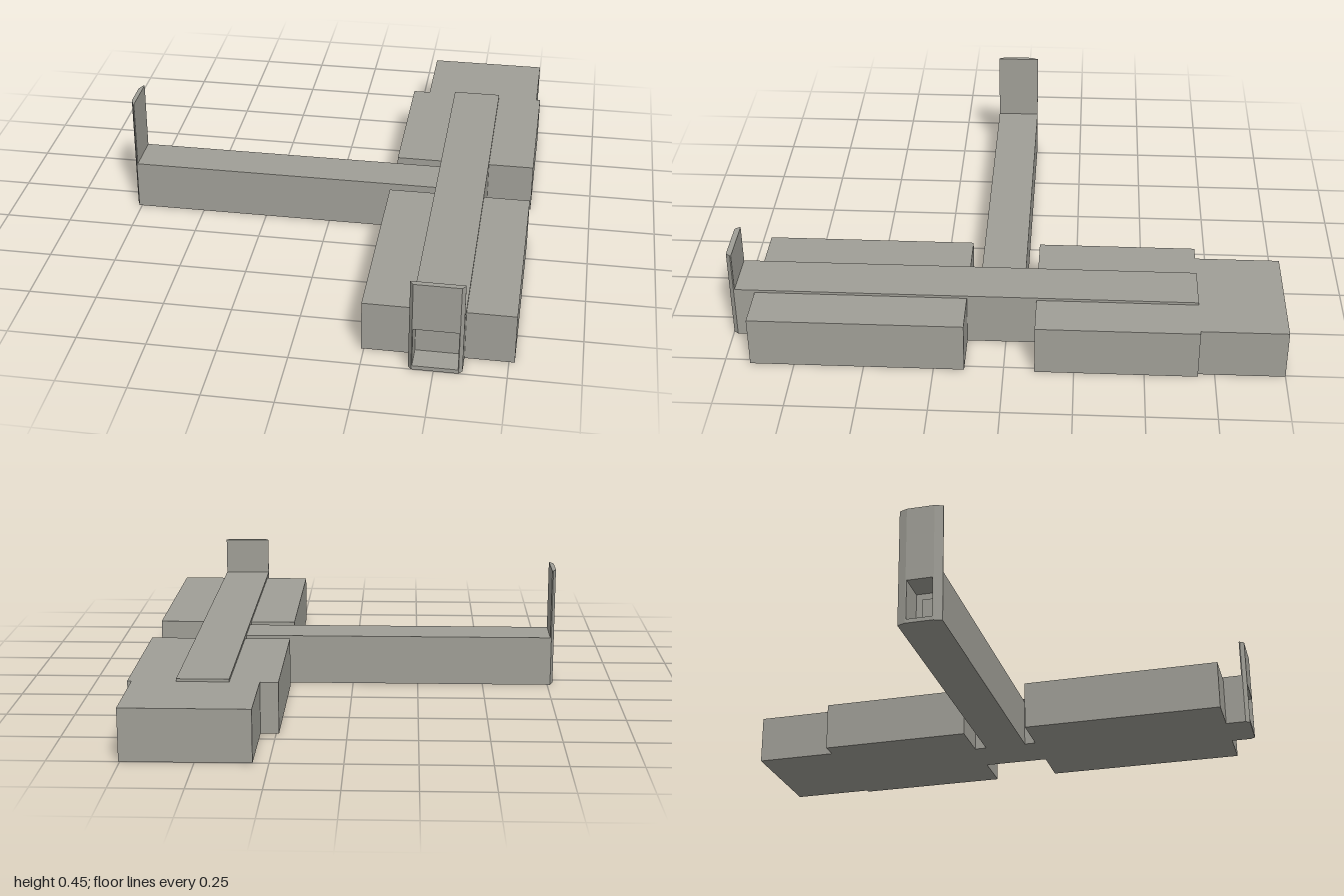
import * as THREE from 'three';

const concrete = new THREE.MeshStandardMaterial({ color: 0xa09f97 });
concrete.name = 'warm grey';

function add(parent, name, geometry) {
  const mesh = new THREE.Mesh(geometry, concrete);
  mesh.name = name;
  parent.add(mesh);
  return mesh;
}

// Box given by its limits on each axis
function block(parent, name, [x0, x1], [y0, y1], [z0, z1]) {
  const mesh = add(parent, name, new THREE.BoxGeometry(x1 - x0, y1 - y0, z1 - z0));
  mesh.position.set((x0 + x1) / 2, (y0 + y1) / 2, (z0 + z1) / 2);
  return mesh;
}

// Plan outline of [x, z] points raised from y0 to y1
function prism(parent, name, plan, y0, y1) {
  const shape = new THREE.Shape(plan.map(([x, z]) => new THREE.Vector2(x, -z)));
  const geometry = new THREE.ExtrudeGeometry(shape, { depth: y1 - y0, bevelEnabled: false });
  geometry.rotateX(-Math.PI / 2).translate(0, y0, 0);
  return add(parent, name, geometry);
}

// Hollow porch and tall chamfered facade, facing local +z with its back plane at z = 0
function entrance({ name, width, height, roof, depth, chamfer, opening, recess }) {
  const group = new THREE.Group();
  group.name = name;
  const w = width / 2, o = opening / 2, sill = 0.015, lintel = 0.165;
  const plan = [[-w, 0], [w, 0], [w, 0.004], [w - chamfer, depth], [chamfer - w, depth], [-w, 0.004]];
  prism(group, 'threshold', plan, 0, sill);
  prism(group, 'facadePanel', plan, lintel, height);
  for (const s of [-1, 1]) {
    const post = [[o, 0], [w, 0], [w, 0.004], [w - chamfer, depth], [o, depth]];
    prism(group, 'doorPost', post.map(([x, z]) => [s * x, z]), sill, lintel);
  }

  // Porch walls as a tube with a rectangular opening
  const shell = new THREE.Shape();
  shell.moveTo(-w, 0).lineTo(w, 0).lineTo(w, roof).lineTo(-w, roof).closePath();
  const hole = new THREE.Path();
  hole.moveTo(-o, sill).lineTo(-o, lintel).lineTo(o, lintel).lineTo(o, sill).closePath();
  shell.holes.push(hole);
  const walls = new THREE.ExtrudeGeometry(shell, { depth: recess, bevelEnabled: false });
  walls.translate(0, 0, -recess);
  add(group, 'porchWalls', walls);

  // Door at the back of the porch
  const door = opening * 0.235;
  block(group, 'door', [-door, door], [sill, 0.14], [-recess, -recess + 0.006]);
  return group;
}

export function createModel() {
  const model = new THREE.Group();
  model.name = 'building';
  const wingTop = 0.188, hallTop = 0.198, recess = 0.1;

  // Wide wings and rear block
  block(model, 'frontWing', [0.24, 0.77], [0, wingTop], [0.14, 0.908]);
  block(model, 'rearWing', [0.24, 0.77], [0, wingTop], [-0.69, -0.11]);
  block(model, 'rearBlock', [0.305, 0.755], [0, wingTop], [-1, -0.69]);

  // Long raised hall and side corridor
  block(model, 'hall', [0.412, 0.598], [0, hallTop], [-0.69, 0.98 - recess]);
  block(model, 'corridor', [-0.757 + recess, 0.412], [0, wingTop], [-0.065, 0.097]);

  const front = entrance({
    name: 'frontEntrance', width: 0.186, height: 0.345, roof: hallTop,
    depth: 0.02, chamfer: 0.012, opening: 0.156, recess,
  });
  front.position.set(0.505, 0, 0.98);

  const side = entrance({
    name: 'sideEntrance', width: 0.162, height: 0.45, roof: wingTop,
    depth: 0.016, chamfer: 0.03, opening: 0.094, recess,
  });
  side.position.set(-0.757, 0, 0.016);
  side.rotation.y = -Math.PI / 2;

  model.add(front, side);
  return model;
}
